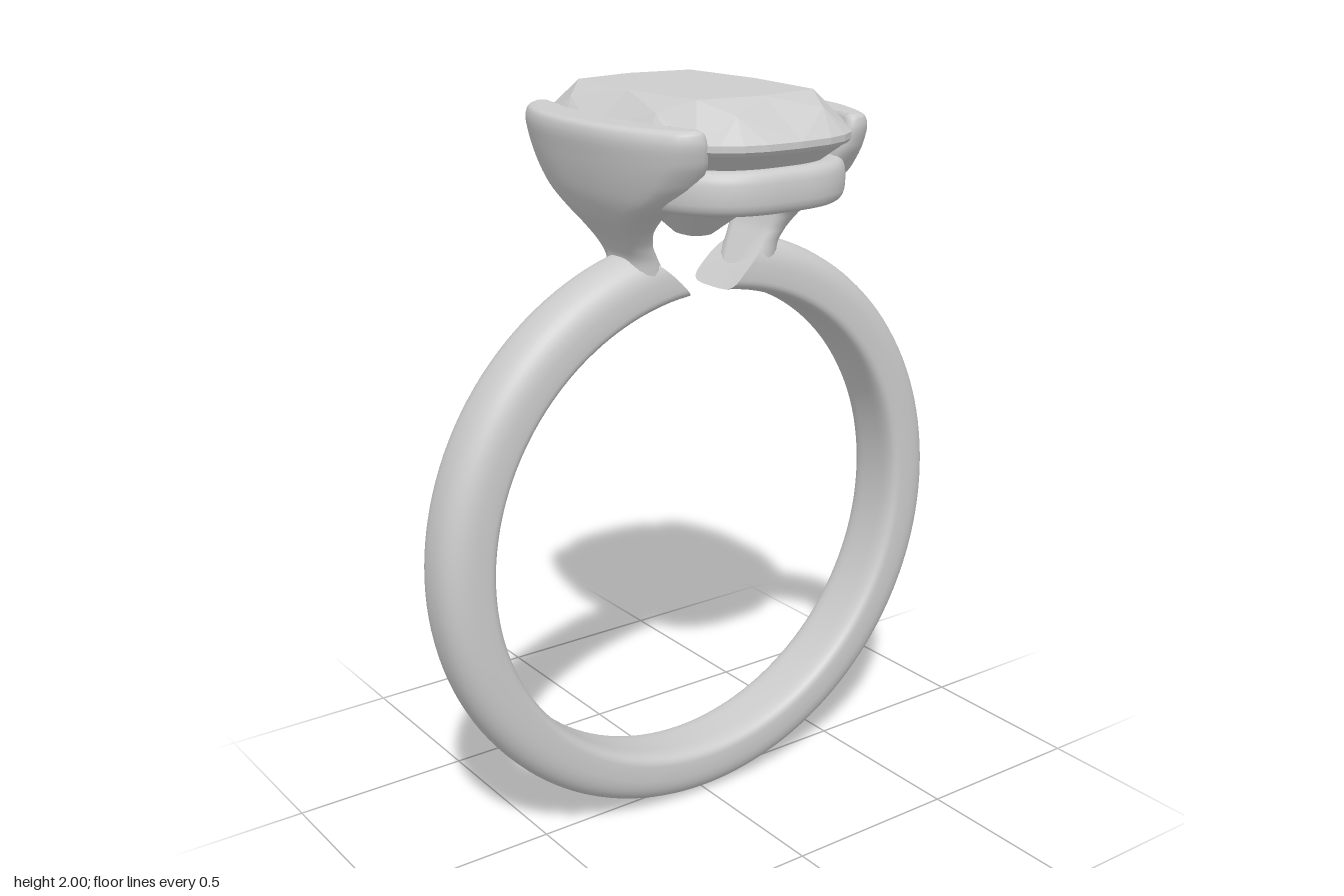
import * as THREE from 'three';

const V = (x, y, z) => new THREE.Vector3(x, y, z);
const spow = (v, p) => Math.sign(v) * Math.abs(v) ** p;
const TAU = Math.PI * 2;

// Skin over a stack of closed point loops, with optional flat end caps
function loft(rings, caps = true) {
  const n = rings[0].length, pos = [], idx = [];
  rings.forEach(r => r.forEach(p => pos.push(p.x, p.y, p.z)));
  for (let i = 0; i < rings.length - 1; i++) {
    for (let j = 0; j < n; j++) {
      const k = (j + 1) % n, a = i * n, b = a + n;
      idx.push(a + j, a + k, b + k, a + j, b + k, b + j);
    }
  }
  if (caps) [rings[0], rings[rings.length - 1]].forEach((ring, end) => {
    const base = pos.length / 3, c = V(0, 0, 0);
    ring.forEach(p => { pos.push(p.x, p.y, p.z); c.addScaledVector(p, 1 / n); });
    pos.push(c.x, c.y, c.z);
    for (let j = 0; j < n; j++) {
      const k = (j + 1) % n;
      idx.push(base + n, base + (end ? j : k), base + (end ? k : j));
    }
  });
  const g = new THREE.BufferGeometry();
  g.setAttribute('position', new THREE.Float32BufferAttribute(pos, 3));
  g.setIndex(idx);
  g.computeVertexNormals();
  return g;
}

// Point on a horizontal cushion outline
const cushion = (a, hx, hz, y, n = 2.8) =>
  V(hx * spow(Math.cos(a), 2 / n), y, -hz * spow(Math.sin(a), 2 / n));

function faceted(g) {
  const f = g.index ? g.toNonIndexed() : g;
  f.computeVertexNormals();
  return f;
}

// Open band: rounded outside, flatter inside, ends cut on a slant
function bandGeometry() {
  const rings = [], steps = 128, pts = 40;
  for (let i = 0; i <= steps; i++) {
    const ring = [];
    for (let j = 0; j < pts; j++) {
      const a = j / pts * TAU, c = Math.cos(a), s = Math.sin(a);
      const n = c > 0 ? 2.6 : 4;
      const r = 0.71 + (c > 0 ? 0.1 : 0.05) * spow(c, 2 / n);
      const z = 0.092 * spow(s, 2 / n);
      const start = 0.09 + 0.16 * (r - 0.66) / 0.15;
      const t = start + i / steps * (TAU - 2 * start);
      ring.push(V(r * Math.sin(t), 0.81 + r * Math.cos(t), z));
    }
    rings.push(ring);
  }
  return loft(rings);
}

// Flared shoulder: a curved bar that widens as it rises from the band
function shoulderGeometry() {
  // height, inner x, outer x, half width, bend
  const rows = [
    [1.52, 0.115, 0.24, 0.086, 0], [1.58, 0.155, 0.232, 0.089, 0],
    [1.62, 0.182, 0.25, 0.1, 0.003], [1.66, 0.2, 0.28, 0.125, 0.01],
    [1.70, 0.215, 0.312, 0.17, 0.025], [1.75, 0.235, 0.338, 0.25, 0.05],
    [1.80, 0.25, 0.354, 0.312, 0.075], [1.86, 0.27, 0.367, 0.352, 0.09],
    [1.91, 0.288, 0.374, 0.363, 0.095], [1.934, 0.3, 0.368, 0.358, 0.095],
    [1.943, 0.318, 0.352, 0.345, 0.093],
  ];
  const edge = new THREE.CatmullRomCurve3(rows.map(r => V(r[1], r[0], r[2])));
  const flare = new THREE.CatmullRomCurve3(rows.map(r => V(r[3], r[4], 0)));
  const rings = [];
  for (let i = 0; i <= 50; i++) {
    const e = edge.getPoint(i / 50), f = flare.getPoint(i / 50);
    const r = (e.z - e.x) / 2, xc = (e.z + e.x) / 2, w = f.x, ring = [];
    const add = (dx, z) => ring.push(V(xc + dx - f.y * Math.abs(z / w) ** 2.5, e.y, z));
    for (const side of [1, -1]) {
      for (let k = 0; k < 16; k++) add(side * r, side * (w - r) * (1 - k / 8));
      for (let k = 0; k < 8; k++) {
        const a = k / 8 * Math.PI;
        add(side * r * Math.cos(a), side * (-(w - r) - r * Math.sin(a)));
      }
    }
    rings.push(ring);
  }
  return loft(rings);
}

// Rounded rail running round beneath the stone
function railGeometry() {
  const rings = [];
  for (let i = 0; i <= 96; i++) {
    const ring = [];
    for (let j = 0; j < 20; j++) {
      const a = j / 20 * TAU, d = 0.035 * spow(Math.cos(a), 0.7);
      ring.push(cushion(i / 96 * TAU, 0.262 + d, 0.384 + d, 1.788 - 0.054 * spow(Math.sin(a), 0.7)));
    }
    rings.push(ring);
  }
  return loft(rings, false);
}

// Crown of the stone: table, star, kite and girdle facets
function crownGeometry() {
  const T = i => cushion(i * TAU / 8, 0.2, 0.29, 2, 6);
  const M = i => cushion((i + 0.5) * TAU / 8, 0.262, 0.375, 1.968);
  const G = k => cushion(k * TAU / 32, 0.305, 0.436, 1.908);
  const tris = [];
  for (let i = 0; i < 8; i++) {
    tris.push(V(0, 2, 0), T(i), T(i + 1));
    tris.push(T(i), M(i), T(i + 1));
    tris.push(T(i), M(i - 1), G(4 * i), T(i), G(4 * i), M(i));
    for (let k = 4 * i; k < 4 * i + 4; k++) tris.push(M(i), G(k), G(k + 1));
  }
  return faceted(new THREE.BufferGeometry().setFromPoints(tris));
}

// Lower stone: tapering facets below a thin girdle
function pavilionGeometry() {
  const loop = (n, ...args) =>
    Array.from({ length: n }, (_, j) => cushion(j / n * TAU, ...args));
  return [
    faceted(loft([loop(16, 0.04, 0.055, 1.62), loop(16, 0.298, 0.428, 1.882)])),
    faceted(loft([loop(32, 0.298, 0.428, 1.882), loop(32, 0.305, 0.436, 1.892),
      loop(32, 0.305, 0.436, 1.908)], false)),
  ];
}

export function createModel() {
  const model = new THREE.Group();
  model.name = 'ring';
  const grey = new THREE.MeshStandardMaterial({ color: 0xcccccc });
  grey.name = 'light grey';
  const add = (name, geometry, parent = model) => {
    const mesh = new THREE.Mesh(geometry, grey);
    mesh.name = name;
    parent.add(mesh);
    return mesh;
  };

  add('band', bandGeometry());
  const shoulder = shoulderGeometry();
  add('leftShoulder', shoulder);
  add('rightShoulder', shoulder).rotation.y = Math.PI;
  add('rail', railGeometry());

  const stone = new THREE.Group();
  stone.name = 'stone';
  model.add(stone);
  const [pavilion, girdle] = pavilionGeometry();
  add('crown', crownGeometry(), stone);
  add('girdle', girdle, stone);
  add('pavilion', pavilion, stone);
  return model;
}
